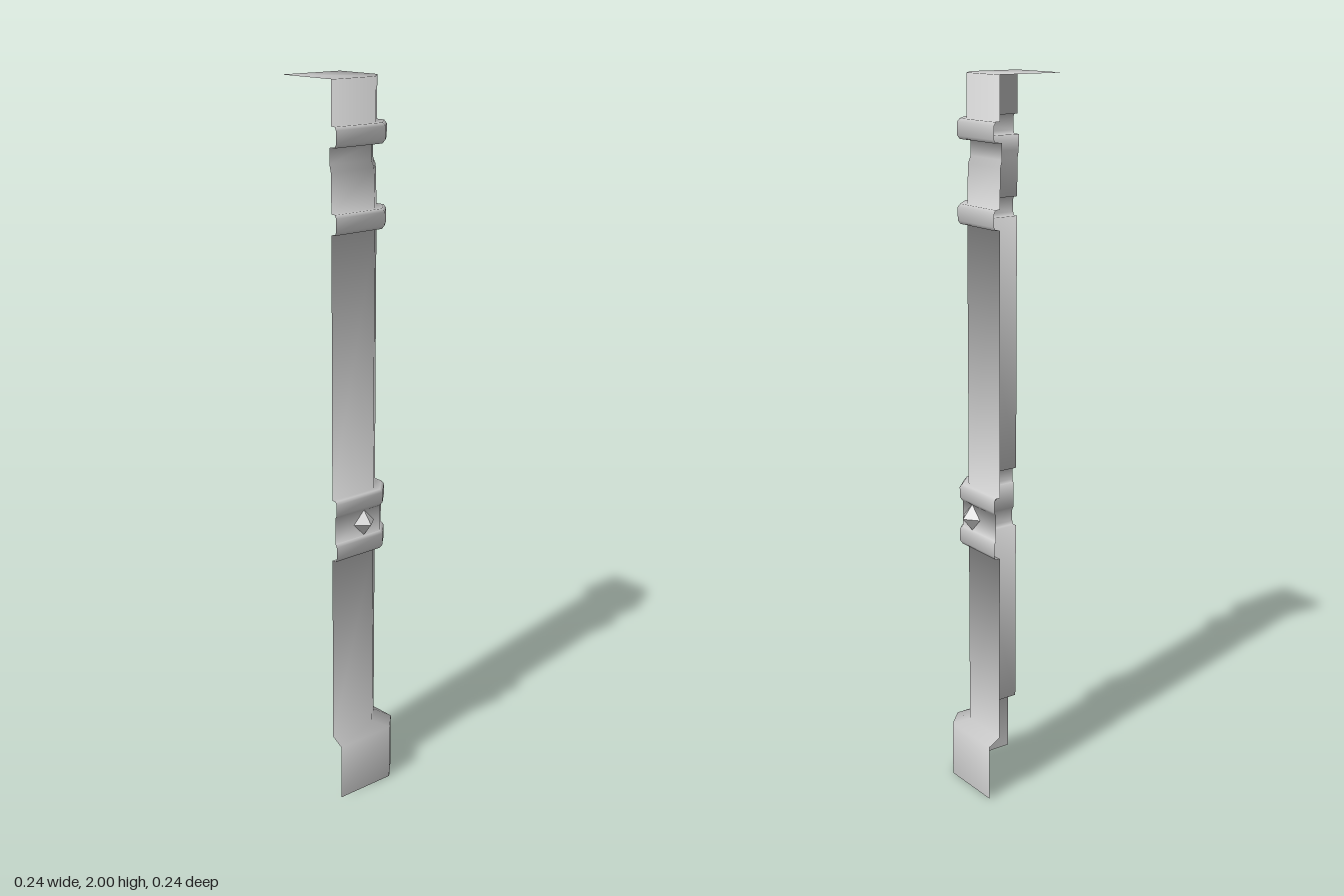
import * as THREE from 'three';

const EDGE = 0.12;    // open sides lie at x = -EDGE and z = +EDGE
const CHAMFER = 0.05; // cut of the outer corner

// Rounded trim ring as [outset, height] pairs
const ring = (y0, y1, inLow, inHigh) => [
  [inLow, y0], [0.091, y0], [0.096, y0 + 0.009], [0.096, y1 - 0.009], [0.091, y1], [inHigh, y1],
];

// Plan of the shell at one height: back wall, chamfer, side wall
const section = (d) => [[-EDGE, -d], [d - CHAMFER, -d], [d, CHAMFER - d], [d, EDGE]];
const sectionNormals = [[0, -1], [0.383, -0.924], [0.924, -0.383], [1, 0]];

function shellGeometry(profile) {
  const pos = [], nor = [], idx = [];
  // Outward/up normal of each profile segment, with the flat top as the last one
  const seg = profile.slice(1).map(([d, y], j) =>
    new THREE.Vector2(y - profile[j][1], profile[j][0] - d).normalize());
  seg.push(new THREE.Vector2(0, 1));

  profile.forEach(([d, y], j) => {
    const tilt = seg[j].clone().add(seg[Math.max(j - 1, 0)]).normalize();
    section(d).forEach(([x, z], i) => {
      const [nx, nz] = sectionNormals[i];
      pos.push(x, y, z);
      nor.push(nx * tilt.x, tilt.y, nz * tilt.x);
      if (j > 0 && i > 0) {
        const c = j * 4 + i, a = c - 5; // a: lower left, c: upper right
        idx.push(a, c - 1, a + 1, a + 1, c - 1, c);
      }
    });
  });

  // Flat cap closing the top
  const corner = pos.length / 3, row = corner - 4;
  pos.push(-EDGE, profile[profile.length - 1][1], EDGE);
  nor.push(0, 1, 0);
  for (let i = 0; i < 3; i++) idx.push(corner, row + i + 1, row + i);

  const g = new THREE.BufferGeometry();
  g.setAttribute('position', new THREE.Float32BufferAttribute(pos, 3));
  g.setAttribute('normal', new THREE.Float32BufferAttribute(nor, 3));
  g.setIndex(idx);
  return g;
}

export function createModel() {
  const group = new THREE.Group();
  group.name = 'cornerColumn';

  // Plinth, shaft, ringed band, upper shaft, ringed neck and top block
  const profile = [
    [0.114, 0], [0.114, 0.16], [0.078, 0.18],
    ...ring(0.718, 0.77, 0.078, 0.09),
    ...ring(0.845, 0.892, 0.09, 0.078),
    ...ring(1.612, 1.665, 0.078, 0.078),
    [0.076, 1.77], [0.071, 1.79],
    ...ring(1.832, 1.885, 0.071, 0.078),
    [0.078, 2],
  ];
  const shell = new THREE.Mesh(
    shellGeometry(profile),
    new THREE.MeshStandardMaterial({ color: 0xcccccc, side: THREE.DoubleSide }),
  );
  shell.name = 'columnShell';
  group.add(shell);

  // Diamond studs on the band, one per wall
  const studMaterial = new THREE.MeshStandardMaterial({ color: 0xcccccc });
  const addStud = (name, x, z, angle) => {
    const stud = new THREE.Mesh(new THREE.OctahedronGeometry(1, 0), studMaterial);
    stud.name = name;
    stud.scale.set(0.041, 0.041, 0.034);
    stud.position.set(x, 0.808, z);
    stud.rotation.y = angle;
    group.add(stud);
  };
  addStud('backStud', -0.006, -0.087, 0);
  addStud('sideStud', 0.086, 0.017, Math.PI / 2);

  return group;
}
